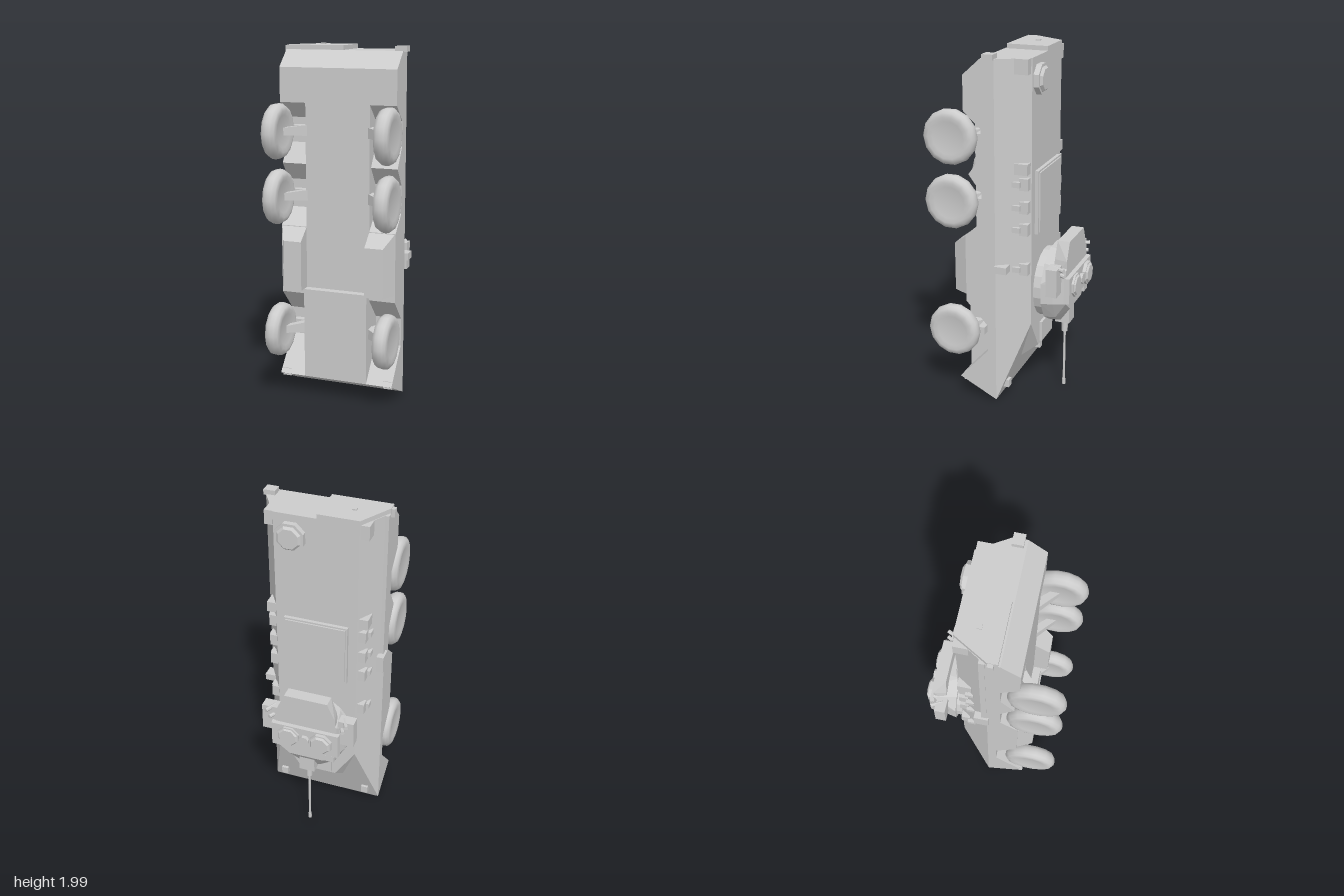
import * as THREE from 'three';
import { toCreasedNormals } from 'three/addons/utils/BufferGeometryUtils.js';
import { ConvexGeometry } from 'three/addons/geometries/ConvexGeometry.js';

// The vehicle stands on its nose: nose at y = 0, rear at y = 2, belly to +z, roof to -z.
export function createModel() {
  const model = new THREE.Group();
  const grey = new THREE.MeshStandardMaterial({ color: 0xcccccc });
  grey.name = 'plain grey';

  const add = (name, geo) => {
    const mesh = new THREE.Mesh(geo, grey);
    mesh.name = name;
    model.add(mesh);
    return mesh;
  };
  // Box given by its limits
  const box = (name, x0, x1, y0, y1, z0, z1) => {
    const g = new THREE.BoxGeometry(x1 - x0, y1 - y0, z1 - z0);
    return add(name, g.translate((x0 + x1) / 2, (y0 + y1) / 2, (z0 + z1) / 2));
  };
  const solid = (name, pts) => add(name, new ConvexGeometry(pts.map((p) => new THREE.Vector3(...p))));
  // Both-sided corner points from [x, y, z]
  const both = (pts) => pts.flatMap(([x, y, z]) => [[x, y, z], [-x, y, z]]);
  // Side profile of [z, y] points, extruded from x0 to x1
  const profile = (name, pts, x0, x1) => {
    const shape = new THREE.Shape(pts.map(([z, y]) => new THREE.Vector2(z, y)));
    const g = new THREE.ExtrudeGeometry(shape, { depth: x1 - x0, bevelEnabled: false });
    return add(name, g.rotateY(-Math.PI / 2).translate(x1, 0, 0));
  };
  // Drum whose axis points out of the roof, with a bevelled outer edge
  const drum = (name, x, y, z0, z1, r, sides, bevel = 0) => {
    const h = z0 - z1;
    const pts = [[0, 0], [r, 0], [r, h - bevel], [r - bevel, h], [0, h]].map((p) => new THREE.Vector2(...p));
    const g = new THREE.LatheGeometry(bevel ? pts : [pts[0], pts[1], pts[3], pts[4]], sides);
    g.rotateY(Math.PI / sides).rotateX(-Math.PI / 2).translate(x, y, z0);
    return add(name, toCreasedNormals(g, 0.3));
  };

  // Upper hull: sloped sides, sloping front
  solid('upperHull', both([
    [0.335, 0.01, 0], [0.335, 1.96, 0], [0.23, 0.47, -0.17], [0.23, 1.96, -0.17],
  ]));
  // Raised middle of the front slope
  solid('frontRoofRise', both([
    [0.23, 0.47, -0.17], [0.11, 0.285, -0.17], [0.13, 0.2, -0.065], [0.2, 0.47, -0.1],
  ]));
  // Lower hull: belly and wheel-arch sides
  profile('belly', [
    [0, 0.01], [0.22, 0.12], [0.22, 0.64], [0.175, 0.64], [0.175, 1.87], [0.075, 1.96], [0, 1.96],
  ], -0.185, 0.185);
  const arches = [
    [0, 0.01], [0.22, 0.12], [0.05, 0.31], [0.05, 0.47], [0.175, 0.6], [0.175, 0.99],
    [0.075, 1.08], [0.075, 1.24], [0.15, 1.34], [0.075, 1.45], [0.075, 1.59],
    [0.175, 1.68], [0.175, 1.87], [0.075, 1.96], [0, 1.96],
  ];
  profile('leftArches', arches, 0.185, 0.335);
  profile('rightArches', arches, -0.335, -0.185);

  // Wheel cross-section: radius, distance along the axle
  const tyre = [[0, 0.008], [0.09, 0.008], [0.115, 0], [0.137, 0.006], [0.15, 0.025], [0.153, 0.045],
    [0.15, 0.065], [0.137, 0.08], [0.115, 0.086], [0.09, 0.08], [0, 0.078]]
    .map((p) => new THREE.Vector2(...p));

  for (const s of [1, -1]) {
    const side = s > 0 ? 'left' : 'right';
    const sideBox = (name, x0, x1, ...r) =>
      box(side + name, Math.min(s * x0, s * x1), Math.max(s * x0, s * x1), ...r);

    // Wheels and axles
    for (const y of [0.403, 1.17, 1.53]) {
      const g = new THREE.LatheGeometry(tyre, 14).rotateZ(-Math.PI / 2);
      if (s < 0) g.rotateY(Math.PI);
      add(side + 'Wheel', toCreasedNormals(g.translate(s * 0.27, y, 0.26), 0.75));
      solid(side + 'Axle', [-1, 1].flatMap((k) => [
        [s * 0.17, y + k * 0.03, 0.1], [s * 0.17, y + k * 0.03, 0.17],
        [s * 0.285, y + k * 0.02, 0.22], [s * 0.285, y + k * 0.02, 0.27],
      ]));
      sideBox('SuspensionArm', 0.18, 0.285, y - 0.022, y + 0.022, 0.09, 0.13);
    }
    // Side bin between the wheels
    solid(side + 'SideBin', [[0.185, 0.64, 0.17], [0.185, 0.99, 0.17], [0.333, 0.64, 0.17], [0.333, 0.99, 0.17],
      [0.185, 0.64, 0.26], [0.185, 0.92, 0.26], [0.29, 0.64, 0.26], [0.29, 0.92, 0.26]]
      .map(([x, y, z]) => [s * x, y, z]));

    // Fittings along the sloped sides
    for (const y of [0.81, 1.04, 1.165, 1.295]) {
      sideBox('SideBracket', 0.22, 0.275, y - 0.033, y + 0.033, -0.165, -0.115);
      sideBox('SideBracketPin', 0.27, 0.292, y - 0.015, y + 0.015, -0.125, -0.08);
    }
    sideBox('SideBox', 0.22, 0.285, 1.35, 1.41, -0.165, -0.09);
    sideBox('RearCornerBox', 0.22, 0.28, 1.88, 1.96, -0.165, -0.09);
    sideBox('FrontLamp', 0.24, 0.28, 0.07, 0.115, -0.055, -0.01);
    sideBox('TowLug', 0.28, 0.33, 0.1, 0.145, 0.1, 0.2);

    // Turret side box and angled launcher tubes
    sideBox('TurretBox', 0.18, 0.27, 0.67, 0.83, -0.33, -0.267);
    for (const [i, y] of [0.78, 0.82].entries()) {
      const t = new THREE.CylinderGeometry(0.012, 0.012, 0.075, 8);
      t.rotateX(-Math.PI / 2).rotateY(-s * 0.45);
      add(side + 'LauncherTube', toCreasedNormals(t.translate(s * (0.2 + i * 0.02), y, -0.325), 0.3));
    }
  }
  // One-sided fittings
  box('leftMidBox', 0.29, 0.355, 0.8, 0.84, -0.07, 0);
  box('rightMidBox', -0.35, -0.31, 1.02, 1.12, -0.07, 0.01);
  box('rightRail', -0.338, -0.3, 1.1, 1.96, -0.03, 0);
  box('leftRearLamp', 0.285, 0.35, 1.955, 1.985, 0, 0.06);
  box('rightRearLamp', -0.355, -0.33, 1.935, 1.98, 0.015, 0.045);

  // Rear door with handle
  solid('rearDoor', [1.955, 1.985].flatMap((y) => [
    [-0.335, y, 0.065], [-0.335, y, 0.01], [-0.23, y, -0.17], [-0.005, y, -0.17], [-0.005, y, 0.065],
  ]));
  box('doorHandle', -0.18, -0.155, 1.98, 1.992, -0.07, -0.045);

  // Roof hatches
  box('roofHatch', -0.18, 0.18, 0.99, 1.35, -0.19, -0.165);
  box('roofHatchLid', -0.17, 0.17, 1.0, 1.34, -0.198, -0.185);
  drum('rearHatchRing', 0.135, 1.84, -0.165, -0.2, 0.085, 8);
  drum('rearHatchLid', 0.135, 1.84, -0.19, -0.214, 0.07, 8, 0.012);
  box('driverHatch', -0.09, 0.09, 0.3, 0.42, -0.185, -0.165);

  // Turret
  drum('turretRing', 0, 0.65, -0.165, -0.225, 0.2, 20);
  const ring = (r, z, ry = r) => Array.from({ length: 12 }, (_, i) => {
    const a = ((i + 0.5) * Math.PI) / 6;
    return [r * Math.cos(a), 0.655 + ry * Math.sin(a), z];
  });
  solid('turretBody', [...ring(0.222, -0.22, 0.23), ...ring(0.208, -0.285, 0.225),
    ...both([[0.18, 0.6, -0.355], [0.18, 0.8, -0.355], [0.1, 0.54, -0.355], [0.12, 0.85, -0.35]])]);
  solid('turretBustle', both([
    [0.17, 0.75, -0.355], [0.17, 0.75, -0.28], [0.17, 0.85, -0.355], [0.155, 0.85, -0.28],
    [0.125, 0.95, -0.355], [0.125, 0.95, -0.285],
  ]));
  solid('turretRoofPlate', both([
    [0.2, 0.61, -0.35], [0.2, 0.76, -0.35], [0.195, 0.61, -0.38], [0.195, 0.76, -0.38],
  ]));
  drum('rightTurretHatch', -0.097, 0.69, -0.375, -0.4, 0.068, 8);
  drum('rightTurretHatchLid', -0.097, 0.69, -0.39, -0.41, 0.06, 8, 0.01);
  drum('leftTurretHatch', 0.095, 0.69, -0.375, -0.392, 0.068, 8);
  drum('leftTurretHatchLid', 0.095, 0.69, -0.385, -0.4, 0.06, 8, 0.008);
  drum('roofSight', 0, 0.69, -0.375, -0.4, 0.03, 8);
  box('frontSight', -0.17, -0.11, 0.56, 0.6, -0.37, -0.33);

  // Gun
  const rod = (name, r, y0, y1) => {
    const g = new THREE.CylinderGeometry(r, r, y1 - y0, 12);
    add(name, toCreasedNormals(g.translate(0.005, (y0 + y1) / 2, -0.295), 0.6));
  };
  box('gunMount', -0.04, 0.05, 0.42, 0.55, -0.335, -0.25);
  rod('gunSleeve', 0.018, 0.35, 0.46);
  rod('gunBarrel', 0.007, 0.005, 0.37);
  rod('gunMuzzle', 0.01, 0, 0.035);

  return model;
}
